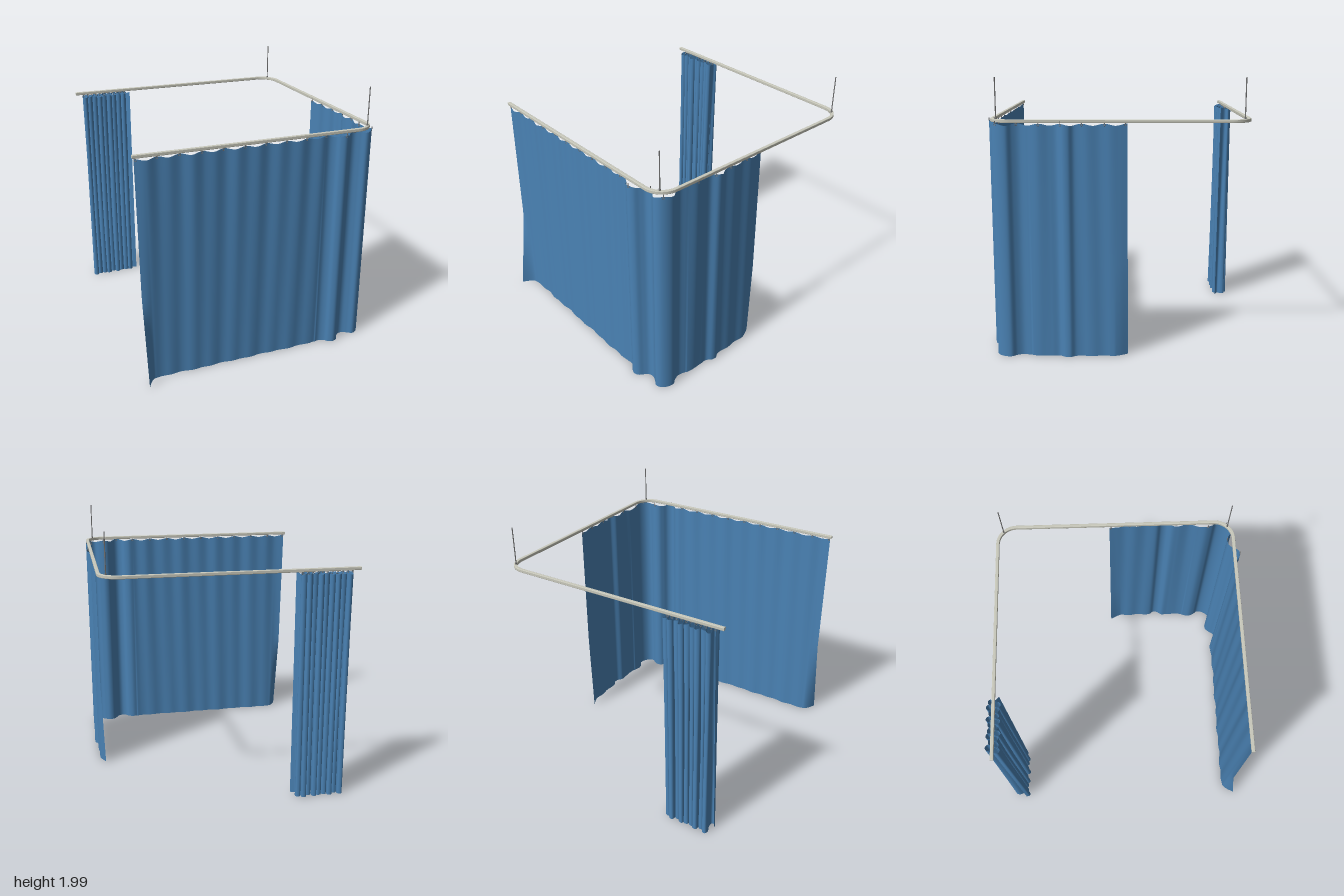
import * as THREE from 'three';

const TOP = 1.688, HEM = 0.008;
const railMat = new THREE.MeshStandardMaterial({ color: 0xc9c9bc });
const metalMat = new THREE.MeshStandardMaterial({ color: 0x777777 });
const clothMat = new THREE.MeshStandardMaterial({ color: 0x4a82b4, side: THREE.DoubleSide });

function add(parent, name, geometry, material, x = 0, y = 0, z = 0) {
  const mesh = new THREE.Mesh(geometry, material);
  mesh.name = name;
  mesh.position.set(x, y, z);
  parent.add(mesh);
  return mesh;
}

// Plan curve of a curtain from [x, z] pairs
function planCurve(points) {
  const curve = new THREE.CatmullRomCurve3(points.map(([x, z]) => new THREE.Vector3(x, 0, z)));
  curve.arcLengthDivisions = 1200;
  return curve;
}

// Cloth hung between a top and a hem curve; the top edge sags between hooks
function clothGeometry(topCurve, hemCurve, cols, rows, hooks, shape) {
  const geo = new THREE.PlaneGeometry(1, 1, cols, rows);
  const pos = geo.attributes.position;
  const tops = topCurve.getSpacedPoints(cols), hems = hemCurve.getSpacedPoints(cols);
  const p = new THREE.Vector3();
  for (let j = 0; j <= rows; j++) {
    const drop = j / rows;
    for (let i = 0; i <= cols; i++) {
      const u = i / cols;
      const sag = 0.014 * Math.sin(Math.PI * hooks * u) ** 2;
      p.lerpVectors(tops[i], hems[i], drop);
      p.y = THREE.MathUtils.lerp(TOP - sag, HEM, drop);
      if (shape) shape(p, u, drop);
      pos.setXYZ(j * (cols + 1) + i, p.x, p.y, p.z);
    }
  }
  geo.computeVertexNormals();
  return geo;
}

// Small ring and stem joining the cloth to the rail
function addHooks(parent, curve, count) {
  const ring = new THREE.TorusGeometry(0.008, 0.002, 6, 12);
  const stem = new THREE.CylinderGeometry(0.003, 0.003, 0.02, 8);
  for (let i = 0; i <= count; i++) {
    const u = THREE.MathUtils.clamp(i / count, 0.004, 0.996);
    const p = curve.getPointAt(u), t = curve.getTangentAt(u);
    const hook = new THREE.Group();
    hook.name = 'hook';
    hook.position.set(p.x, 1.68, p.z);
    hook.rotation.y = Math.atan2(-t.z, t.x);
    add(hook, 'hookRing', ring, metalMat);
    add(hook, 'hookStem', stem, metalMat, 0, 0.015, 0);
    parent.add(hook);
  }
}

// U-shaped rail with two rounded corners
function railGeometry() {
  const w = 0.008, cx = 0.745, cf = 0.745, cb = -0.765, r = 0.14, end = -0.918;
  const s = new THREE.Shape();
  s.moveTo(end, cf + r + w);
  s.lineTo(cx, cf + r + w);
  s.absarc(cx, cf, r + w, Math.PI / 2, 0, true);
  s.absarc(cx, cb, r + w, 0, -Math.PI / 2, true);
  s.lineTo(end, cb - r - w);
  s.lineTo(end, cb - r + w);
  s.absarc(cx, cb, r - w, -Math.PI / 2, 0, false);
  s.absarc(cx, cf, r - w, 0, Math.PI / 2, false);
  s.lineTo(end, cf + r - w);
  const geo = new THREE.ExtrudeGeometry(s, {
    depth: 0.016, bevelEnabled: true, bevelSize: 0.004, bevelThickness: 0.004, bevelSegments: 2, curveSegments: 20,
  });
  return geo.rotateX(Math.PI / 2);
}

export function createModel() {
  const model = new THREE.Group();
  model.name = 'cubicleCurtain';

  add(model, 'rail', railGeometry(), railMat, 0, 1.713, 0);

  // Ceiling rods at the two corners
  for (const z of [0.845, -0.861]) {
    add(model, 'ceilingRod', new THREE.CylinderGeometry(0.004, 0.004, 0.285, 10), metalMat, 0.84, 1.8575, z);
    add(model, 'rodFoot', new THREE.CylinderGeometry(0.007, 0.007, 0.012, 12), metalMat, 0.84, 1.722, z);
  }

  // Main curtain: shallow folds along the front, deep fold before the corner, then the side
  const front = [];
  for (let i = 0; i <= 17; i++) {
    front.push([-0.91 + i * 0.08, 0.888 + (i % 2 ? 0.01 : -0.008) * (0.6 + 0.4 * Math.sin(i * 1.7))]);
  }
  const corner = [[0.52, 0.878], [0.56, 0.893], [0.585, 0.918], [0.62, 0.93], [0.655, 0.915], [0.68, 0.878],
    [0.705, 0.85], [0.74, 0.842], [0.78, 0.858], [0.82, 0.882], [0.86, 0.868], [0.89, 0.825], [0.897, 0.775]];
  const side = [[0.87, 0.735], [0.856, 0.69], [0.868, 0.63], [0.886, 0.56], [0.876, 0.48], [0.878, 0.43],
    [0.908, 0.385], [0.908, 0.35], [0.884, 0.31], [0.89, 0.22], [0.88, 0.14], [0.887, 0.06], [0.878, 0], [0.868, -0.055]];
  const mainPath = planCurve([...front, ...corner, ...side]);
  const mainCurtain = new THREE.Group();
  mainCurtain.name = 'mainCurtain';
  add(mainCurtain, 'mainCloth', clothGeometry(mainPath, mainPath, 480, 28, 18, (p, u, drop) => {
    // Free ends flare near the hem
    const a = Math.max(0, 1 - u / 0.025), b = Math.max(0, (u - 0.97) / 0.03);
    const low = Math.max(0, (drop - 0.6) / 0.4);
    p.x += 0.022 * drop * Math.max(0, 1 - u / 0.3) - 0.02 * b * low;
    p.z += 0.085 * a * a * low + 0.016 * a * drop - 0.01 * b * drop;
    // Folds soften and drift slightly on the way down
    const wave = 0.006 * drop * Math.sin(u * 110 + 0.8);
    if (u < 0.5) p.z += wave;
    else if (u > 0.75) p.x += wave * 0.7;
  }), clothMat);
  addHooks(mainCurtain, mainPath, 18);
  model.add(mainCurtain);

  // Gathered curtain: tight looping folds bunched at the end of the back rail
  const gathered = (depth, zc, x0, x1, shift) => {
    const pts = [], folds = 9, n = folds * 8;
    for (let i = 0; i <= n; i++) {
      const t = i / n, a = t * folds * Math.PI * 2 + shift;
      const d = depth * (0.8 + 0.2 * Math.sin(t * 23 + shift));
      pts.push([x0 + (x1 - x0) * t - 0.016 * Math.sin(2 * a), zc + d * Math.sin(a)]);
    }
    pts.push([x1 + 0.025, zc + 0.04]);
    return planCurve(pts);
  };
  const backTop = gathered(0.054, -0.907, -0.86, -0.49, 0);
  const backHem = gathered(0.064, -0.899, -0.86, -0.5, 0.5);
  const gatheredCurtain = new THREE.Group();
  gatheredCurtain.name = 'gatheredCurtain';
  add(gatheredCurtain, 'gatheredCloth', clothGeometry(backTop, backHem, 400, 24, 18), clothMat);
  const hookLine = planCurve([[-0.86, -0.905], [-0.68, -0.905], [-0.5, -0.905]]);
  addHooks(gatheredCurtain, hookLine, 10);
  model.add(gatheredCurtain);

  return model;
}
